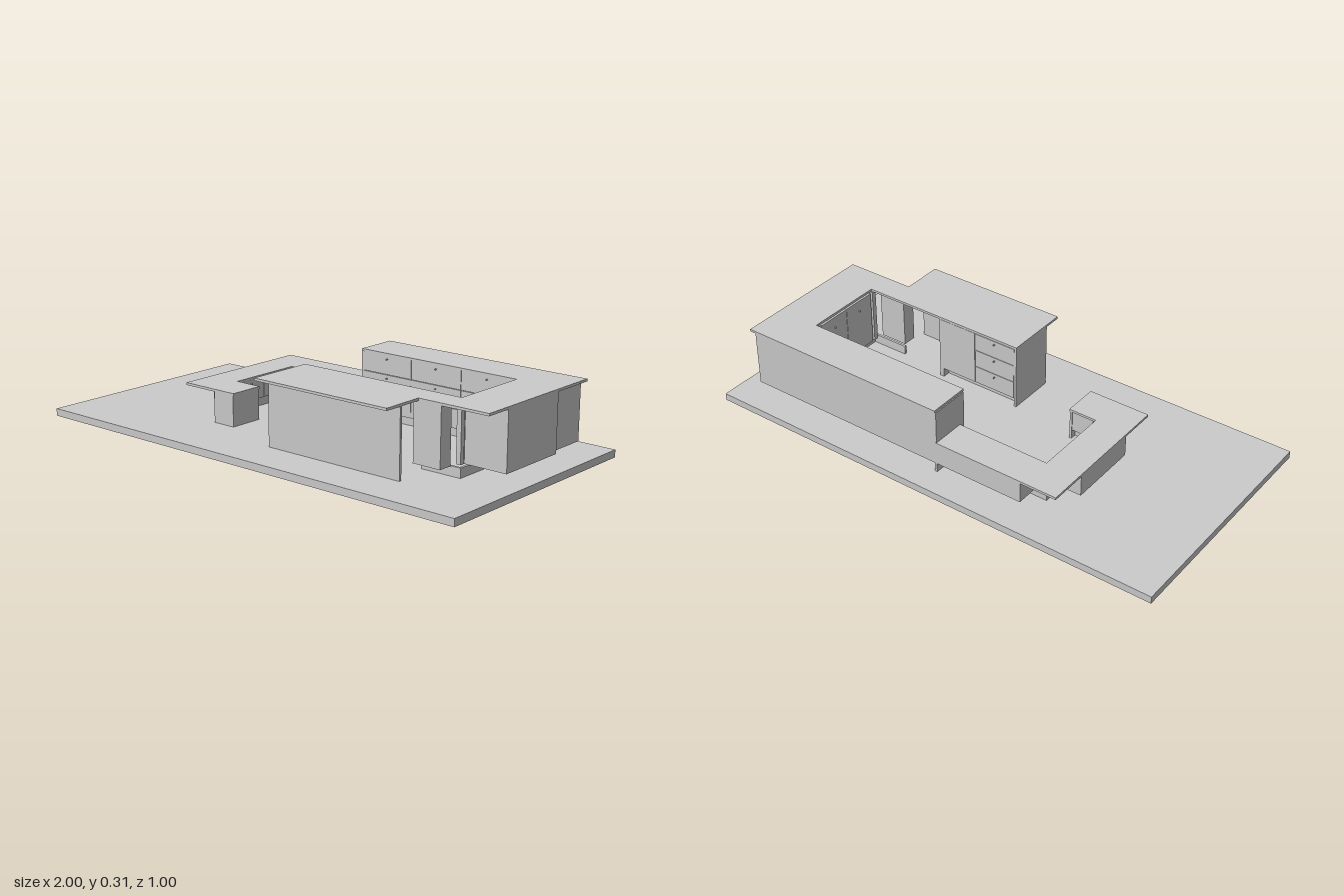
import * as THREE from 'three';

const material = new THREE.MeshStandardMaterial({ color: 0xcccccc, flatShading: true, side: THREE.DoubleSide });

export function createModel() {
  const model = new THREE.Group();

  // Box given by its minimum and maximum on each axis
  function box(name, x0, x1, y0, y1, z0, z1, parent = model) {
    const mesh = new THREE.Mesh(new THREE.BoxGeometry(x1 - x0, y1 - y0, z1 - z0), material);
    mesh.position.set((x0 + x1) / 2, (y0 + y1) / 2, (z0 + z1) / 2);
    mesh.name = name;
    parent.add(mesh);
    return mesh;
  }

  // Flat slab from an outline of [x, z] corners
  function slab(name, outline, y, thickness) {
    const shape = new THREE.Shape(outline.map(([x, z]) => new THREE.Vector2(x, -z)));
    const geometry = new THREE.ExtrudeGeometry(shape, { depth: thickness, bevelEnabled: false });
    geometry.rotateX(-Math.PI / 2);
    const mesh = new THREE.Mesh(geometry, material);
    mesh.position.y = y;
    mesh.name = name;
    model.add(mesh);
  }

  // Cabinet front: a grid of panels with small knobs; the group faces local +z
  function fronts(name, width, height, columns, rows, x, y, z, turn) {
    const group = new THREE.Group();
    group.name = name;
    const w = width / columns, h = height / rows, gap = 0.001;
    for (let c = 0; c < columns; c++) {
      for (let r = 0; r < rows; r++) {
        box('drawerFront', c * w + gap, (c + 1) * w - gap, r * h + gap, (r + 1) * h - gap, -0.018, 0, group);
        const knob = new THREE.Mesh(new THREE.CylinderGeometry(0.003, 0.003, 0.008, 8), material);
        knob.rotation.x = Math.PI / 2;
        knob.position.set((c + 0.5) * w, (r + 0.8) * h, 0.004);
        knob.name = 'knob';
        group.add(knob);
      }
    }
    group.position.set(x, y, z);
    group.rotation.y = turn;
    model.add(group);
  }

  const floor = 0.03, foot = 0.068, highTop = 0.3, lowTop = 0.155;

  box('floorPlate', -1, 1, 0, floor, -0.5, 0.5);

  // Worktops
  slab('highWorktop', [[0.01, -0.395], [0.93, -0.395], [0.93, 0.22], [0.63, 0.22], [0.63, 0.395],
    [0.01, 0.395], [0.01, 0.115], [0.74, 0.115], [0.74, -0.22], [0.01, -0.22]], highTop, 0.01);
  slab('lowWorktop', [[-0.53, -0.395], [0.01, -0.395], [0.01, -0.25], [-0.39, -0.25], [-0.39, 0.073],
    [-0.27, 0.073], [-0.27, 0.22], [-0.53, 0.22]], lowTop, 0.01);

  // High back row
  box('backCabinet', 0.01, 0.905, foot, highTop, -0.393, -0.242);
  box('backEndPanel', 0.006, 0.016, floor, highTop, -0.393, -0.225);
  fronts('backFronts', 0.71, highTop - foot, 3, 3, 0.016, foot, -0.224, 0);

  // High right row
  box('sideCabinet', 0.75, 0.93, foot, highTop, -0.205, 0.106);
  fronts('sideFronts', 0.3, highTop - foot, 2, 1, 0.732, foot, -0.2, -Math.PI / 2);

  // Corner fillers and corner unit
  box('cornerFiller', 0.73, 0.75, foot, highTop, -0.227, -0.207);
  box('cornerFiller', 0.73, 0.75, foot, highTop, 0.108, 0.128);
  box('cornerUnit', 0.61, 0.73, foot, highTop, 0.16, 0.22);

  // Front bar with a drawer cabinet behind it
  box('barPanel', 0.01, 0.63, floor, highTop, 0.31, 0.32);
  box('drawerCabinet', 0.02, 0.21, foot, highTop, 0.132, 0.31);
  box('barEndPanel', 0.01, 0.02, floor, highTop, 0.115, 0.31);
  fronts('drawerFronts', 0.19, highTop - foot, 1, 3, 0.21, foot, 0.114, Math.PI);
  box('barDoor', 0.212, 0.37, foot, highTop, 0.114, 0.132);
  box('barSupport', 0.37, 0.388, floor, highTop, 0.114, 0.31);

  // Low back row
  box('lowBackCabinet', -0.374, 0.006, foot, lowTop, -0.393, -0.27);
  fronts('lowBackFronts', 0.37, lowTop - foot, 3, 1, -0.366, foot, -0.252, 0);

  // Low left row
  box('lowSideCabinet', -0.53, -0.41, foot, lowTop, -0.232, 0.067);
  fronts('lowSideFronts', 0.29, lowTop - foot, 2, 1, -0.392, foot, 0.065, Math.PI / 2);
  box('lowCornerFiller', -0.39, -0.374, foot, lowTop, -0.27, -0.252);

  // Low peninsula end
  box('lowEndCabinet', -0.374, -0.28, foot, lowTop, 0.078, 0.22);
  box('lowEndPanel', -0.282, -0.272, floor, lowTop, 0.075, 0.22);
  box('lowEndPlinth', -0.374, -0.28, floor, foot, 0.1, 0.22);

  // Recessed plinth boards
  box('backPlinth', 0.01, 0.77, floor, foot, -0.26, -0.25);
  box('sidePlinth', 0.76, 0.77, floor, foot, -0.25, 0.155);
  box('cornerPlinth', 0.6, 0.77, floor, foot, 0.145, 0.155);
  box('drawerPlinth', 0.02, 0.38, floor, foot, 0.145, 0.155);
  box('lowBackPlinth', -0.42, 0.01, floor, foot, -0.29, -0.28);
  box('lowSidePlinth', -0.42, -0.41, floor, foot, -0.28, 0.1);

  return model;
}
